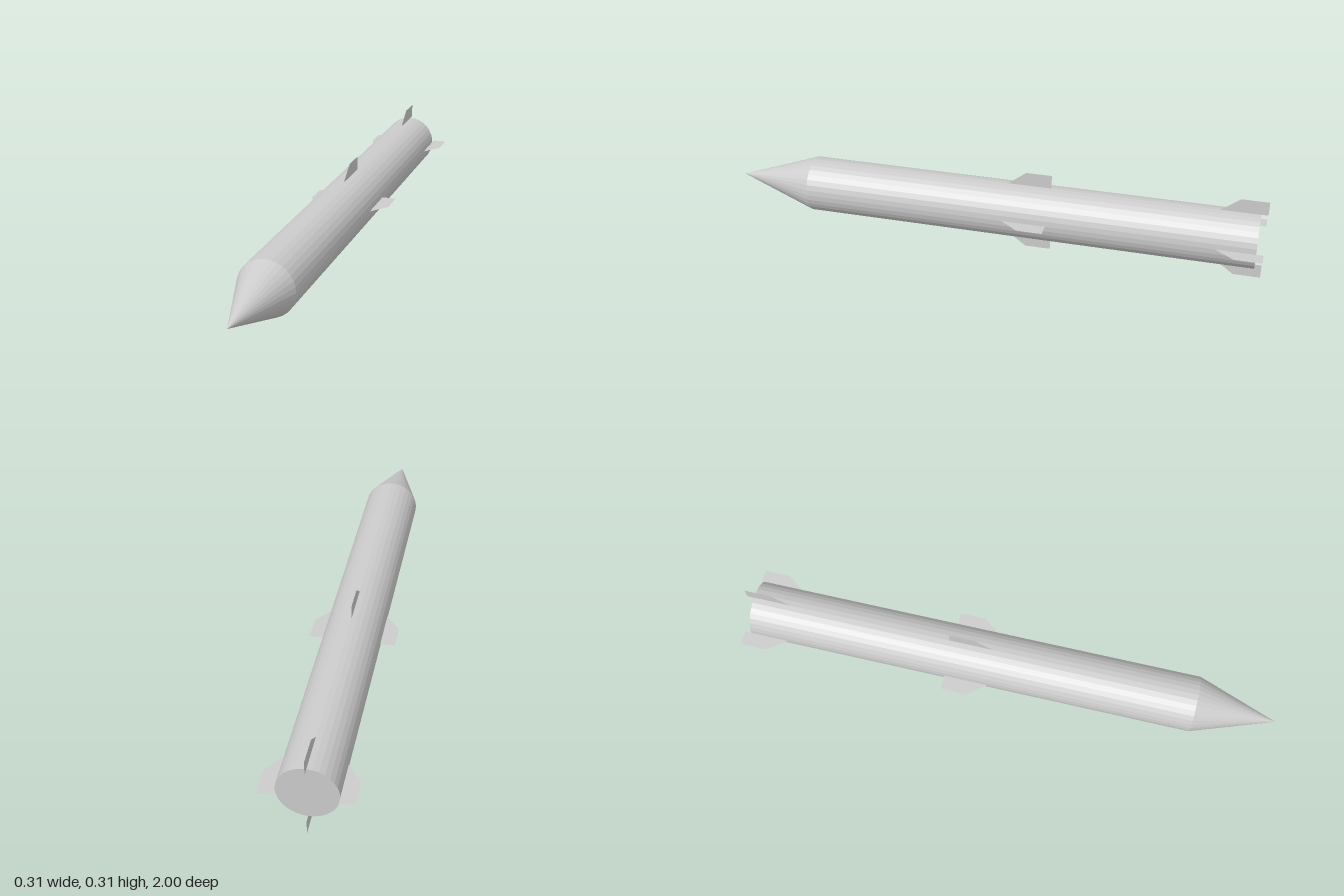
import * as THREE from 'three';

const RADIUS = 0.103;
const SPAN = 0.155; // axis to fin tip
const SIDES = 32;
const NOSE_BASE = 0.7;
const TAIL = -0.975;

export function createModel() {
  const model = new THREE.Group();
  model.name = 'missile';
  model.position.y = SPAN;

  const bodyMaterial = new THREE.MeshStandardMaterial({ color: 0xcccccc, flatShading: true });
  const finMaterial = new THREE.MeshStandardMaterial({ color: 0xcccccc, side: THREE.DoubleSide });

  // Straight body tube, closed at the tail
  const length = NOSE_BASE - TAIL;
  const bodyGeometry = new THREE.CylinderGeometry(RADIUS, RADIUS, length, SIDES).rotateX(Math.PI / 2);
  const body = new THREE.Mesh(bodyGeometry, bodyMaterial);
  body.name = 'body';
  body.position.z = (NOSE_BASE + TAIL) / 2;
  model.add(body);

  // Pointed nose
  const noseLength = 1 - NOSE_BASE;
  const noseGeometry = new THREE.ConeGeometry(RADIUS, noseLength, SIDES, 1, true).rotateX(Math.PI / 2);
  const nose = new THREE.Mesh(noseGeometry, bodyMaterial);
  nose.name = 'noseCone';
  nose.position.z = NOSE_BASE + noseLength / 2;
  model.add(nose);

  // Four thin swept fins in a cross
  function addFins(name, rootFront, tipFront, back) {
    const outline = new THREE.Shape([
      new THREE.Vector2(RADIUS, back),
      new THREE.Vector2(SPAN, back),
      new THREE.Vector2(SPAN, tipFront),
      new THREE.Vector2(RADIUS, rootFront),
    ]);
    const geometry = new THREE.ShapeGeometry(outline).rotateX(Math.PI / 2);
    const fins = new THREE.Group();
    fins.name = name + 's';
    for (let i = 0; i < 4; i++) {
      const fin = new THREE.Mesh(geometry, finMaterial);
      fin.name = name;
      fin.rotation.z = (i * Math.PI) / 2;
      fins.add(fin);
    }
    model.add(fins);
  }
  addFins('middleFin', -0.062, -0.13, -0.225);
  addFins('tailFin', -0.833, -0.902, -1);

  const root = new THREE.Group();
  root.add(model);
  return root;
}
